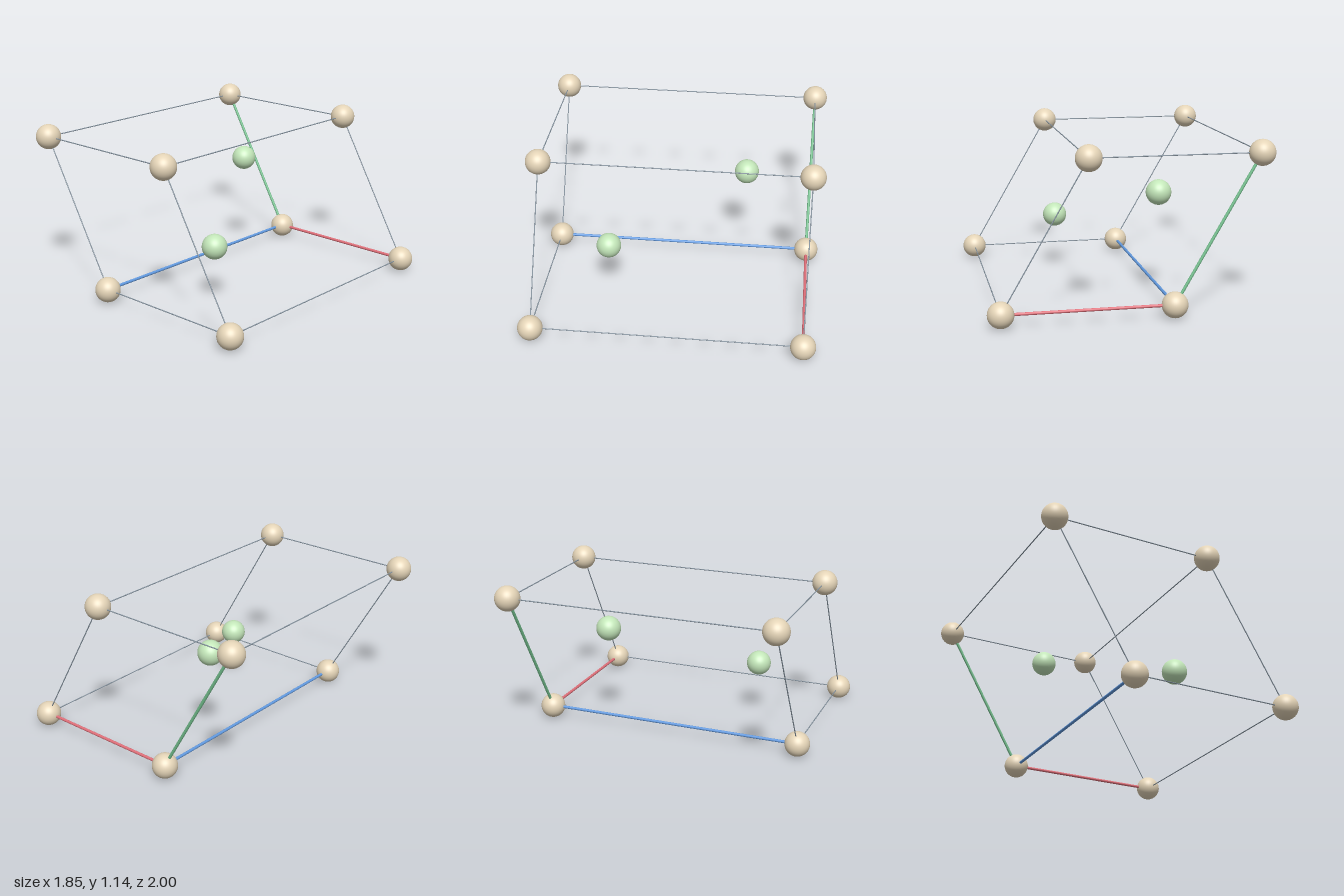
import * as THREE from 'three';

const material = (name, color) => {
  const m = new THREE.MeshStandardMaterial({ color });
  m.name = name;
  return m;
};

export function createModel() {
  const group = new THREE.Group();
  const tan = material('tan', 0xe4d4b7);
  const paleGreen = material('pale green', 0xc3e6b9);
  const red = material('red', 0xe0707a);
  const green = material('green', 0x74c08e);
  const blue = material('blue', 0x629ae0);
  const slate = material('slate grey', 0x84929e);

  // Hexagonal cell: origin corner and three lattice vectors
  const radius = 0.0855;
  const origin = new THREE.Vector3(-0.279, radius, -0.9145);
  const axes = [
    new THREE.Vector3(1.116, 0, 0),
    new THREE.Vector3(-0.558, 0.967, 0),
    new THREE.Vector3(0, 0, 1.829),
  ];
  const at = (...f) => axes.reduce((p, v, i) => p.addScaledVector(v, f[i]), origin.clone());

  const ball = new THREE.SphereGeometry(radius, 40, 28);
  const addBall = (name, pos, mat) => {
    const mesh = new THREE.Mesh(ball, mat);
    mesh.name = name;
    mesh.position.copy(pos);
    group.add(mesh);
  };

  const addRod = (name, a, b, r, mat) => {
    const dir = b.clone().sub(a);
    const mesh = new THREE.Mesh(new THREE.CylinderGeometry(r, r, dir.length(), 16), mat);
    mesh.name = name;
    mesh.position.copy(a).add(b).multiplyScalar(0.5);
    mesh.quaternion.setFromUnitVectors(new THREE.Vector3(0, 1, 0), dir.normalize());
    group.add(mesh);
  };

  // Corner balls
  for (const i of [0, 1])
    for (const j of [0, 1])
      for (const k of [0, 1]) addBall('cornerBall', at(i, j, k), tan);

  // Two balls inside the cell
  addBall('innerBall', at(1 / 3, 2 / 3, 1 / 4), paleGreen);
  addBall('innerBall', at(2 / 3, 1 / 3, 3 / 4), paleGreen);

  // Edges: the three meeting at the origin are thick coloured axes, the rest thin
  const axisMaterials = [red, green, blue];
  for (let d = 0; d < 3; d++)
    for (const u of [0, 1])
      for (const v of [0, 1]) {
        const start = [0, 0, 0];
        start[(d + 1) % 3] = u;
        start[(d + 2) % 3] = v;
        const end = [...start];
        end[d] = 1;
        const isAxis = u + v === 0;
        addRod(isAxis ? 'axisRod' : 'cellEdge', at(...start), at(...end),
          isAxis ? 0.01 : 0.0037, isAxis ? axisMaterials[d] : slate);
      }

  return group;
}
